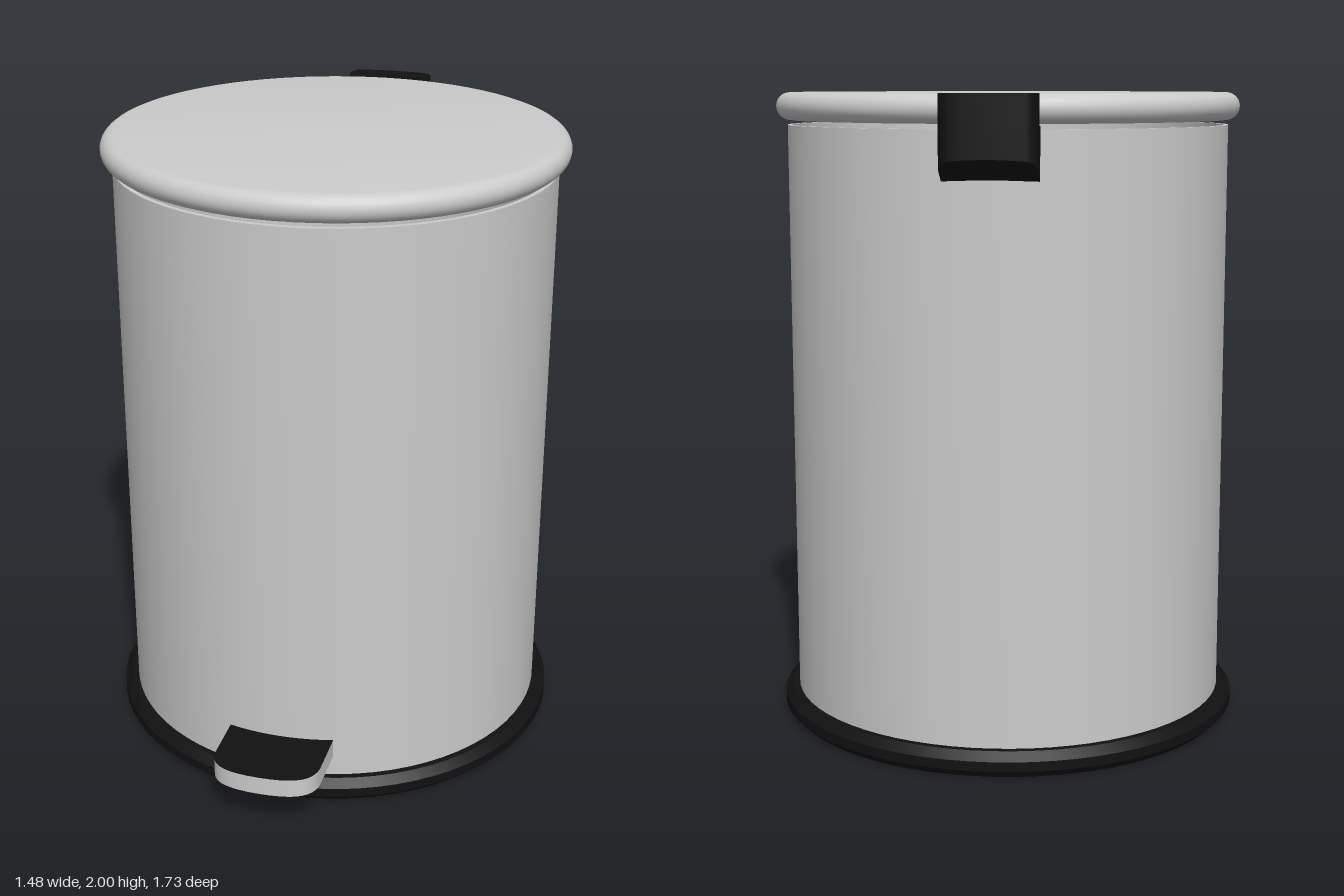
import * as THREE from 'three';
import { toCreasedNormals } from 'three/addons/utils/BufferGeometryUtils.js';

const CENTER_Z = -0.06; // axis of the bin
const BODY_R = 0.695, LID_R = 0.73;

export function createModel() {
  const group = new THREE.Group();
  const grey = new THREE.MeshStandardMaterial({ color: 0xcccccc });
  const black = new THREE.MeshStandardMaterial({ color: 0x111111 });

  const add = (name, geometry, material) => {
    const mesh = new THREE.Mesh(geometry, material);
    mesh.name = name;
    group.add(mesh);
    return mesh;
  };

  // Turned part around the bin's axis; profile runs from bottom to top as [radius, y]
  const turned = (name, profile, material) => {
    const points = profile.map(([r, y]) => new THREE.Vector2(r, y));
    const geometry = toCreasedNormals(new THREE.LatheGeometry(points, 72), 0.6);
    return add(name, geometry.translate(0, 0, CENTER_Z), material);
  };

  // Plan outline (x, z) extruded downward from a given height
  const slab = (shape, top, height) =>
    new THREE.ExtrudeGeometry(shape, { depth: height, bevelEnabled: false, curveSegments: 10 })
      .rotateX(Math.PI / 2).translate(0, top, 0);

  // Edge that follows a circle around the axis, from x = +half to x = -half
  const followCircle = (shape, radius, half, side) => {
    for (let i = 0; i <= 10; i++) {
      const x = half * (1 - i / 5);
      const z = CENTER_Z + side * Math.sqrt(radius * radius - x * x);
      if (i === 0) shape.moveTo(x, z); else shape.lineTo(x, z);
    }
  };

  // Plastic base with chamfered rim and recessed underside
  turned('base', [[0, 0.015], [0.64, 0.015], [0.66, 0], [0.715, 0], [0.74, 0.025],
    [0.74, 0.055], [0.715, 0.08], [0, 0.08]], black);

  // Thin-walled open body
  turned('body', [[BODY_R, 0.075], [BODY_R, 1.9], [0.68, 1.9], [0.68, 0.1], [0, 0.1]], grey);

  // Lid with a rounded edge, floating slightly above the body
  const lidProfile = [[0, 1.915]];
  for (let i = 0; i <= 12; i++) {
    const a = -Math.PI / 2 + (Math.PI * i) / 12;
    lidProfile.push([LID_R - 0.0425 + 0.0425 * Math.cos(a), 1.9575 + 0.0425 * Math.sin(a)]);
  }
  lidProfile.push([0, 2]);
  turned('lid', lidProfile, grey);

  // Foot pedal: dark tread, metal edge
  const pedal = new THREE.Shape();
  followCircle(pedal, BODY_R, 0.17, 1);
  pedal.lineTo(-0.17, 0.77);
  pedal.bezierCurveTo(-0.165, 0.83, -0.13, 0.865, 0, 0.865);
  pedal.bezierCurveTo(0.13, 0.865, 0.165, 0.83, 0.17, 0.77);
  pedal.closePath();
  add('pedal', toCreasedNormals(slab(pedal, 0.21, 0.06), 0.6), [black, grey]);

  // Hinge plan: hugs the body or lid, rounded at the back
  const hingeShape = (radius) => {
    const s = new THREE.Shape();
    followCircle(s, radius, 0.14, -1);
    s.lineTo(-0.14, -0.815);
    s.quadraticCurveTo(-0.135, -0.85, -0.1, -0.855);
    s.quadraticCurveTo(0, -0.867, 0.1, -0.855);
    s.quadraticCurveTo(0.135, -0.85, 0.14, -0.815);
    s.closePath();
    return s;
  };
  add('hingeTop', toCreasedNormals(slab(hingeShape(LID_R), 2, 0.1), 0.6), black);

  // Lower hinge block, its underside sweeping up toward the back
  const lower = slab(hingeShape(BODY_R), 1.91, 0.155);
  const pos = lower.attributes.position;
  for (let i = 0; i < pos.count; i++) {
    if (pos.getY(i) < 1.8) {
      const t = Math.max(0, (-pos.getZ(i) - 0.741) / 0.12);
      pos.setY(i, 1.755 + 0.065 * Math.pow(t, 1.3));
    }
  }
  add('hingeBottom', toCreasedNormals(lower, 0.6), black);

  return group;
}
